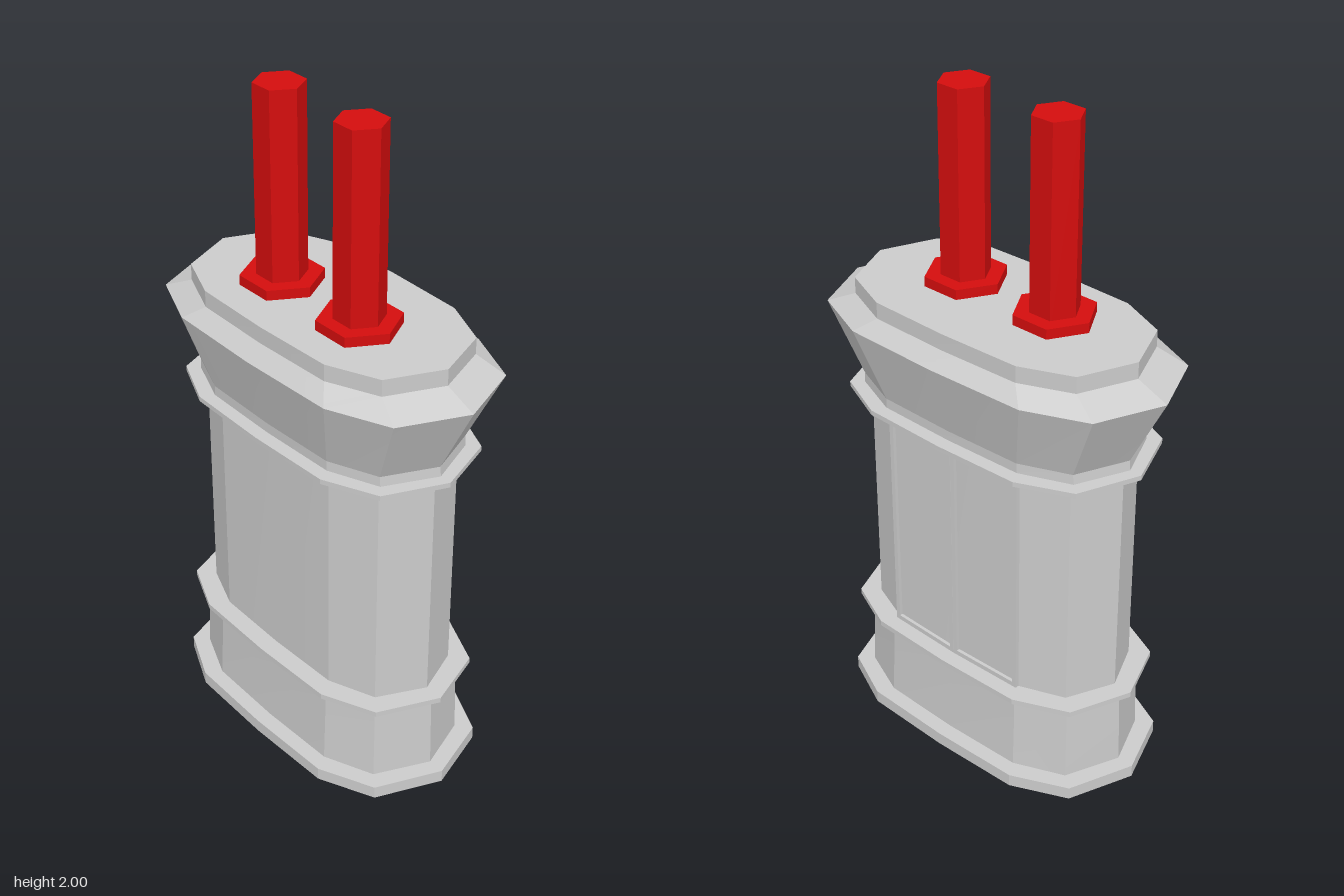
import * as THREE from 'three';
import { toCreasedNormals } from 'three/addons/utils/BufferGeometryUtils.js';

const grey = new THREE.MeshStandardMaterial({ color: 0xcccccc });
const red = new THREE.MeshStandardMaterial({ color: 0xd40d0d });

// Quarter of the elongated plan outline, as fractions of half width and half length
const quarter = [[0, 1], [0.7, 0.855], [0.97, 0.535], [1, 0]];

function outline(w, l) {
  const side = [...quarter, ...quarter.slice(0, 3).reverse().map(([x, z]) => [x, -z])];
  const other = side.slice(1, -1).reverse().map(([x, z]) => [-x, z]);
  return [...side, ...other].map(([x, z]) => [x * w, z * l]);
}

// Closed solid through stacked rings of [y, halfWidth, halfLength]
function loft(name, rings) {
  const pos = [], index = [];
  let n = 0;
  for (const [y, w, l] of rings) {
    const pts = outline(w, l);
    n = pts.length;
    for (const [x, z] of pts) pos.push(x, y, z);
  }
  const last = (rings.length - 1) * n;
  const bottom = pos.length / 3, top = bottom + 1;
  pos.push(0, rings[0][0], 0, 0, rings[rings.length - 1][0], 0);
  for (let i = 0; i < n; i++) {
    const j = (i + 1) % n;
    for (let r = 0; r < last; r += n) {
      index.push(r + i, r + j, r + n + j, r + i, r + n + j, r + n + i);
    }
    index.push(bottom, j, i, top, last + i, last + j);
  }
  const geo = new THREE.BufferGeometry();
  geo.setAttribute('position', new THREE.Float32BufferAttribute(pos, 3));
  geo.setIndex(index);
  const mesh = new THREE.Mesh(toCreasedNormals(geo, 0.16), grey);
  mesh.name = name;
  return mesh;
}

function rect(path, x0, y0, x1, y1) {
  path.moveTo(x0, y0);
  path.lineTo(x1, y0);
  path.lineTo(x1, y1);
  path.lineTo(x0, y1);
  path.closePath();
  return path;
}

// Thin raised border lying on one of the two long side faces
function panelFrame(sign) {
  const shape = rect(new THREE.Shape(), -0.122, 0.315, 0.122, 1.055);
  shape.holes.push(rect(new THREE.Path(), -0.108, 0.33, 0.108, 1.04));
  const geo = new THREE.ExtrudeGeometry(shape, { depth: 0.014, bevelEnabled: false });
  const mesh = new THREE.Mesh(geo, grey);
  mesh.name = 'panelFrame';
  mesh.position.set(0.199, 0, sign * 0.122);
  mesh.rotation.y = Math.PI / 2 - sign * 0.026;
  return mesh;
}

function hexPrism(name, radius, y0, y1) {
  const geo = new THREE.CylinderGeometry(radius, radius, y1 - y0, 6).toNonIndexed();
  geo.computeVertexNormals();
  const mesh = new THREE.Mesh(geo, red);
  mesh.name = name;
  mesh.position.y = (y0 + y1) / 2;
  return mesh;
}

export function createModel() {
  const model = new THREE.Group();
  model.name = 'chimneyStack';

  // Masonry stack from the ground up
  model.add(
    loft('basePlate', [[0, 0.284, 0.522], [0.04, 0.284, 0.522]]),
    loft('plinth', [[0.04, 0.236, 0.47], [0.2, 0.229, 0.466], [0.295, 0.227, 0.462]]),
    loft('lowerBand', [[0.297, 0.263, 0.503], [0.314, 0.263, 0.503]]),
    loft('shaft', [[0.3, 0.206, 0.444], [1.065, 0.206, 0.444]]),
    loft('upperBand', [[1.055, 0.263, 0.503], [1.07, 0.263, 0.503]]),
    loft('flaredCrown', [
      [1.07, 0.222, 0.465], [1.1, 0.222, 0.462], [1.32, 0.284, 0.575],
      [1.36, 0.237, 0.477], [1.41, 0.237, 0.477],
    ]),
  );

  // Twin panels on the left side only
  for (const sign of [1, -1]) model.add(panelFrame(sign));

  // Two red hexagonal flues
  for (const z of [0.165, -0.163]) {
    const flue = new THREE.Group();
    flue.name = 'flue';
    flue.position.set(-0.031, 0, z);
    flue.add(hexPrism('flueCollar', 0.12, 1.405, 1.44), hexPrism('fluePipe', 0.073, 1.405, 2));
    model.add(flue);
  }
  return model;
}
